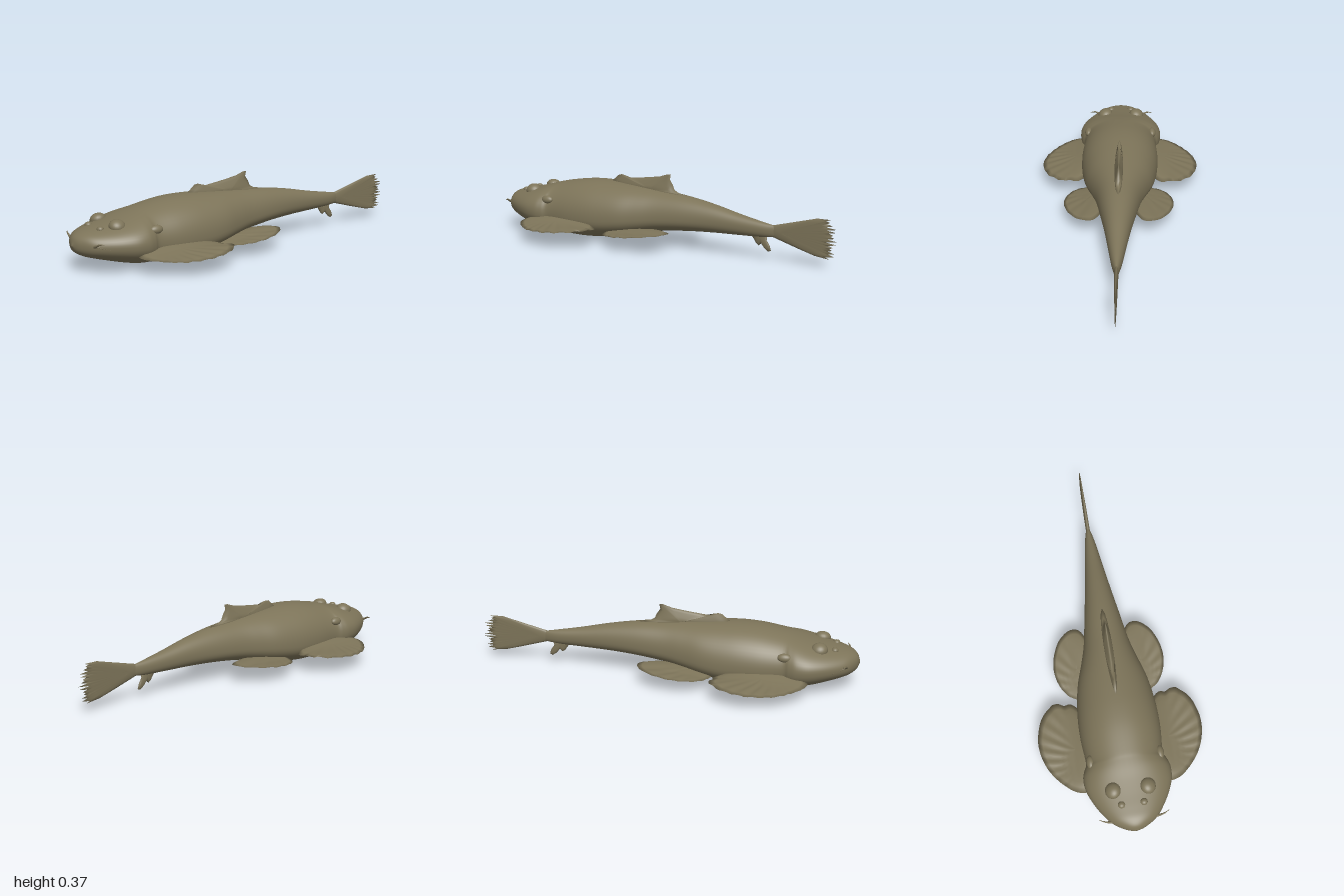
import * as THREE from 'three';

const skin = new THREE.MeshStandardMaterial({ color: 0x7d7459, side: THREE.DoubleSide });
skin.name = 'oliveSkin';

function gridGeometry(rows, cols, at) {
  const pos = [], idx = [];
  for (let i = 0; i <= rows; i++)
    for (let j = 0; j < cols; j++) pos.push(...at(i, j));
  for (let i = 0; i < rows; i++)
    for (let j = 0; j < cols; j++) {
      const k = (j + 1) % cols, a = i * cols + j, b = i * cols + k;
      idx.push(a, b, a + cols, b, b + cols, a + cols);
    }
  const g = new THREE.BufferGeometry();
  g.setAttribute('position', new THREE.Float32BufferAttribute(pos, 3));
  g.setIndex(idx);
  g.computeVertexNormals();
  return g;
}

function mesh(name, geometry) {
  const m = new THREE.Mesh(geometry, skin);
  m.name = name;
  return m;
}

// Body sections: z, half width, bottom, top, height of the widest line
const SECTIONS = [
  [1.0, 0.005, 0.135, 0.145, 0.14], [0.985, 0.05, 0.105, 0.178, 0.14],
  [0.95, 0.107, 0.083, 0.2, 0.14], [0.9, 0.15, 0.067, 0.213, 0.14],
  [0.83, 0.192, 0.048, 0.228, 0.14], [0.76, 0.219, 0.03, 0.245, 0.138],
  [0.7, 0.223, 0.018, 0.262, 0.135], [0.66, 0.212, 0.013, 0.272, 0.13],
  [0.62, 0.197, 0.009, 0.281, 0.125], [0.5, 0.206, 0.003, 0.301, 0.12],
  [0.4, 0.206, 0.006, 0.308, 0.12], [0.3, 0.197, 0.018, 0.306, 0.12],
  [0.2, 0.178, 0.035, 0.3, 0.13], [0.1, 0.146, 0.058, 0.293, 0.14],
  [0, 0.118, 0.078, 0.284, 0.15], [-0.15, 0.092, 0.095, 0.27, 0.16],
  [-0.3, 0.067, 0.104, 0.246, 0.165], [-0.45, 0.045, 0.109, 0.214, 0.16],
  [-0.58, 0.026, 0.114, 0.19, 0.152], [-0.65, 0.01, 0.122, 0.178, 0.15],
  [-0.68, 0.001, 0.13, 0.17, 0.15],
];

function bodyGeometry() {
  const curve = (f) => new THREE.CatmullRomCurve3(
    SECTIONS.map((s) => new THREE.Vector3(...f(s))), false, 'catmullrom', 0.5);
  const size = curve((s) => [s[1], s[2], s[3]]);
  const line = curve((s) => [s[0], s[4], 0]);
  const rows = 100, cols = 56;
  const rings = Array.from({ length: rows + 1 }, (_, i) => [size.getPoint(i / rows), line.getPoint(i / rows)]);
  return gridGeometry(rows, cols, (i, j) => {
    const [{ x: w, y: bottom, z: top }, { x: z, y: mid }] = rings[i];
    const a = (j / cols) * Math.PI * 2, c = Math.cos(a), s = Math.sin(a);
    const e = s > 0 ? 0.95 : 0.87;
    const x = w * Math.sign(c) * Math.abs(c) ** e;
    const y = mid + (s > 0 ? top - mid : bottom - mid) * Math.abs(s) ** e;
    return [x, y, z];
  });
}

// Lens-shaped fin: outline in (u, v) around a centre, h is the offset across the fin
function fin(name, outline, centre, thickness, place, rounded = true) {
  const N = rounded ? 72 : outline.length, R = 8;
  const pts = outline.map(([u, v]) => new THREE.Vector3(u, v, 0));
  const curve = new THREE.CatmullRomCurve3(pts, true, 'centripetal');
  const edge = Array.from({ length: N }, (_, j) => (rounded ? curve.getPoint(j / N) : pts[j]));
  return mesh(name, gridGeometry(2 * R, N, (i, j) => {
    const s = 1 - Math.abs(i - R) / R;
    const u = centre[0] + (edge[j].x - centre[0]) * s;
    const v = centre[1] + (edge[j].y - centre[1]) * s;
    const h = thickness(u, v) * Math.sqrt(1 - s * s) * (i < R ? 1 : -1);
    return place(u, v, h);
  }));
}

function pairedFins() {
  const g = new THREE.Group();
  // Broad pectoral fin, fleshy at its root
  g.add(fin('pectoralFin', [
    [0.14, 0.42], [0.2, 0.31], [0.235, 0.284], [0.265, 0.29], [0.29, 0.278], [0.325, 0.279], [0.345, 0.297],
    [0.38, 0.33], [0.408, 0.39], [0.423, 0.47], [0.413, 0.55], [0.38, 0.63],
    [0.32, 0.705], [0.26, 0.75], [0.21, 0.757], [0.16, 0.7], [0.13, 0.56],
  ], [0.24, 0.53],
  (x) => 0.007 + 0.03 * THREE.MathUtils.clamp((0.34 - x) / 0.16, 0, 1) ** 2,
  (x, z, h) => {
    const rays = 0.0025 * Math.sin(Math.atan2(z - 0.62, x - 0.1) * 34) * THREE.MathUtils.smoothstep(x, 0.22, 0.36);
    const rise = 0.055 * Math.max(0, 0.62 - z) * THREE.MathUtils.smoothstep(x, 0.2, 0.34);
    return [x, 0.087 - 0.05 * Math.max(0, x - 0.2) + rise + rays + h, z];
  }));
  // Smaller oval pelvic fin
  g.add(fin('pelvicFin', [
    [0.06, 0.2], [0.07, 0.06], [0.1, -0.06], [0.135, -0.112], [0.18, -0.115], [0.235, -0.075],
    [0.275, 0.0], [0.29, 0.085], [0.275, 0.165], [0.235, 0.23], [0.18, 0.262], [0.1, 0.28],
  ], [0.17, 0.1],
  (x) => 0.006 + 0.02 * THREE.MathUtils.clamp((0.2 - x) / 0.12, 0, 1),
  (x, z, h) => [x, 0.087 - 0.09 * z + 0.002 * Math.sin(Math.atan2(z - 0.24, x - 0.08) * 28) * Math.min(1, x * 3) + h, z]));
  return g;
}

function medianFins() {
  const g = new THREE.Group();
  const upright = (z, y, h) => [h, y, z];
  g.add(fin('dorsalFin', [
    [0.35, 0.295], [0.315, 0.322], [0.29, 0.343], [0.27, 0.346], [0.24, 0.33], [0.18, 0.337], [0.1, 0.347],
    [0.03, 0.358], [-0.015, 0.373], [-0.037, 0.374], [-0.031, 0.347], [-0.05, 0.32],
    [-0.06, 0.296], [-0.09, 0.28], [-0.145, 0.272], [-0.1, 0.25], [0.1, 0.26], [0.3, 0.28],
  ], [0.08, 0.29], (z, y) => 0.006 + 0.016 * THREE.MathUtils.clamp((0.36 - y) / 0.06, 0, 1), upright, false));

  // Tail fan with a ragged rear edge
  const tail = [[-0.6, 0.135], [-0.6, 0.165], [-0.64, 0.18], [-0.78, 0.216], [-0.88, 0.242]];
  for (let k = 0; k <= 26; k++) {
    const t = k / 26;
    const z = -0.955 - 0.028 * Math.sin(t * Math.PI) + (k % 2 ? 0.04 : 0) - 0.014 * Math.sin(k * 2.4);
    tail.push([z, 0.243 - t * 0.196]);
  }
  tail.push([-0.87, 0.056], [-0.78, 0.08], [-0.64, 0.12]);
  g.add(fin('tailFin', tail, [-0.68, 0.15], (z) => 0.004 + 0.008 * Math.max(0, (z + 1) / 0.4), upright, false));

  g.add(fin('analFin', [
    [-0.5, 0.125], [-0.525, 0.108], [-0.545, 0.078], [-0.56, 0.068], [-0.575, 0.08], [-0.595, 0.056],
    [-0.615, 0.043], [-0.63, 0.05], [-0.622, 0.075], [-0.605, 0.1], [-0.61, 0.13],
  ], [-0.57, 0.11], () => 0.009, upright, false));
  return g;
}

function faceSide() {
  const g = new THREE.Group();
  const bump = (name, p, r, tilt = 0) => {
    const m = mesh(name, new THREE.SphereGeometry(1, 24, 16));
    m.position.set(...p);
    m.scale.set(...r);
    m.rotation.z = tilt;
    g.add(m);
  };
  const fold = (name, pts, r) => {
    const path = new THREE.CatmullRomCurve3(pts.map((p) => new THREE.Vector3(...p)));
    const n = 20, tube = new THREE.TubeGeometry(path, n, r, 8);
    // Taper the tube towards its far end
    const pos = tube.attributes.position, v = new THREE.Vector3();
    for (let i = 0; i < pos.count; i++) {
      const t = Math.floor(i / 9) / n, c = path.getPointAt(t);
      v.fromBufferAttribute(pos, i).sub(c).multiplyScalar(1 - 0.85 * t).add(c);
      pos.setXYZ(i, v.x, v.y, v.z);
    }
    g.add(mesh(name, tube));
  };
  bump('eye', [0.088, 0.222, 0.8], [0.04, 0.032, 0.042], -0.35);
  bump('nostril', [0.056, 0.212, 0.875], [0.019, 0.015, 0.018]);
  bump('gillSpine', [0.178, 0.2, 0.635], [0.018, 0.022, 0.035], 0.5);
  fold('barbel', [[0.105, 0.145, 0.94], [0.125, 0.151, 0.94], [0.15, 0.163, 0.937], [0.176, 0.167, 0.925]], 0.008);
  fold('lipFold', [[0.11, 0.147, 0.943], [0.135, 0.14, 0.915], [0.165, 0.128, 0.875]], 0.006);
  return g;
}

export function createModel() {
  const model = new THREE.Group();
  model.name = 'fish';
  model.add(mesh('body', bodyGeometry()), medianFins());
  for (const [label, side] of [['left', 1], ['right', -1]]) {
    const half = new THREE.Group();
    half.name = label + 'Side';
    half.add(pairedFins(), faceSide());
    half.scale.x = side;
    model.add(half);
  }
  return model;
}
